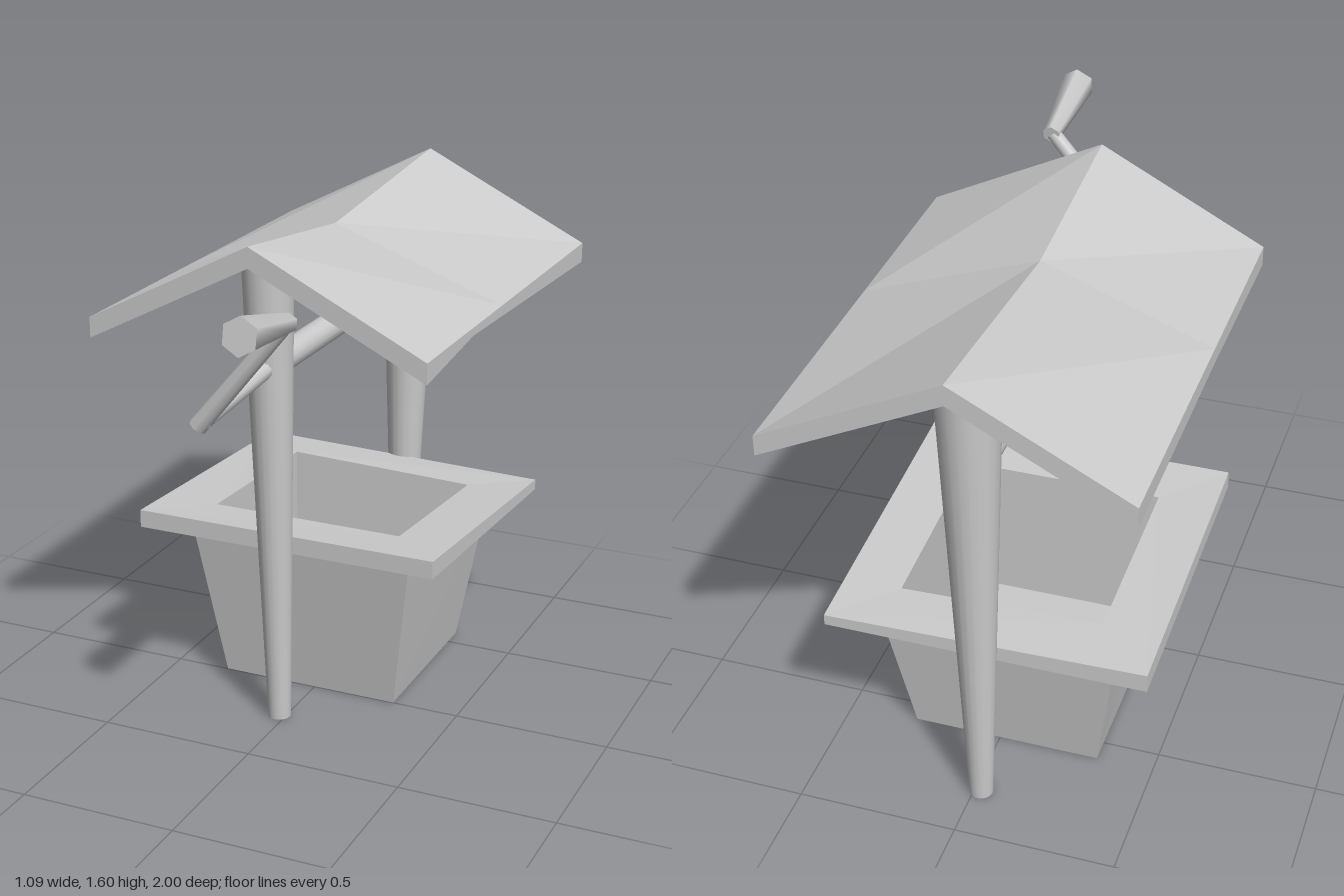
import * as THREE from 'three';

const grey = new THREE.MeshStandardMaterial({ color: 0xcccccc, side: THREE.DoubleSide });

// Flat-shaded mesh from a list of four-cornered faces
function facets(name, quads) {
  const pos = [];
  for (const [a, b, c, d] of quads) pos.push(...a, ...b, ...c, ...a, ...c, ...d);
  const geo = new THREE.BufferGeometry();
  geo.setAttribute('position', new THREE.Float32BufferAttribute(pos, 3));
  geo.computeVertexNormals();
  const mesh = new THREE.Mesh(geo, grey);
  mesh.name = name;
  return mesh;
}

// Faces joining successive closed rings of corners
function skin(...rings) {
  const quads = [];
  for (let k = 0; k < rings.length - 1; k++) {
    const a = rings[k], b = rings[k + 1], n = a.length;
    for (let i = 0; i < n; i++) quads.push([a[i], a[(i + 1) % n], b[(i + 1) % n], b[i]]);
  }
  return quads;
}

// Rectangle of corners; heights go front left, front right, back right, back left on screen
const rect = (x0, x1, z0, z1, [a, b, c, d]) => [[x0, a, z1], [x1, b, z1], [x1, c, z0], [x0, d, z0]];

// Tapered round bar from p to q
function bar(name, p, q, r0, r1, sides) {
  const a = new THREE.Vector3(...p), b = new THREE.Vector3(...q), dir = b.clone().sub(a);
  const mesh = new THREE.Mesh(new THREE.CylinderGeometry(r1, r0, dir.length(), sides), grey);
  mesh.position.copy(a).add(b).multiplyScalar(0.5);
  mesh.quaternion.setFromUnitVectors(new THREE.Vector3(0, 1, 0), dir.normalize());
  mesh.name = name;
  return mesh;
}

export function createModel() {
  const well = new THREE.Group();
  well.name = 'well';

  // Basin: flared outer walls, tilted rim slab, straight shaft with a raised floor
  const foot = rect(-0.32, 0.28, -0.575, 0, [0, 0, 0, 0]);
  const neck = rect(-0.4, 0.36, -0.655, 0.083, [0.552, 0.552, 0.507, 0.507]);
  const rimLow = rect(-0.525, 0.483, -0.775, 0.2, [0.557, 0.557, 0.5, 0.5]);
  const rimTop = rect(-0.525, 0.483, -0.775, 0.2, [0.615, 0.615, 0.535, 0.56]);
  const mouth = rect(-0.34, 0.3, -0.6, 0.02, [0.6, 0.598, 0.549, 0.57]);
  const shaft = rect(-0.335, 0.295, -0.59, 0.015, [0.12, 0.12, 0.12, 0.12]);
  well.add(facets('basinWalls', skin(foot, neck)));
  well.add(facets('basinRim', skin(neck, rimLow, rimTop, mouth)));
  well.add(facets('basinShaft', skin(mouth, shaft)));
  well.add(facets('basinFloor', [shaft]));

  // Posts, widening towards the roof
  well.add(bar('frontPost', [-0.022, 0, 0.225], [-0.032, 1.52, 0.267], 0.037, 0.08, 20));
  well.add(bar('backPost', [-0.022, 0, -0.817], [-0.015, 1.52, -0.82], 0.037, 0.097, 20));

  // Roof: sagging gable swept over three stations
  const L = -0.545, M = -0.015, R = 0.543;
  const station = (z, ridge, under, lowL, lowR, zR = z) => [
    [L, 1.325, z], [M, ridge, z], [R, 1.325, z], [R, lowR, zR], [M, under, z], [L, lowL, z],
  ];
  const front = station(0.435, 1.6, 1.535, 1.26, 1.26);
  const middle = station(-0.19, 1.525, 1.46, 1.272, 1.3, 0.06);
  const back = station(-1, 1.6, 1.535, 1.26, 1.26);
  const gable = (s) => [[s[5], s[4], s[1], s[0]], [s[4], s[3], s[2], s[1]]];
  well.add(facets('roof', [
    ...skin(front, middle, back),
    ...gable(front),
    ...gable(back).map((q) => q.reverse()),
  ]));

  // Axle and hand crank
  well.add(bar('axle', [-0.02, 1.195, -0.82], [-0.02, 1.195, 0.25], 0.044, 0.044, 16));
  const crank = new THREE.Group();
  crank.name = 'crank';
  crank.add(bar('crankShaft', [-0.022, 1.2, 0.22], [-0.022, 1.16, 0.715], 0.029, 0.025, 10));
  crank.add(bar('crankArm', [-0.042, 1.142, 0.708], [0.232, 1.475, 0.708], 0.029, 0.024, 8));
  crank.add(bar('crankHandle', [0.233, 1.475, 0.69], [0.235, 1.523, 0.993], 0.03, 0.056, 6));
  well.add(crank);

  return well;
}
